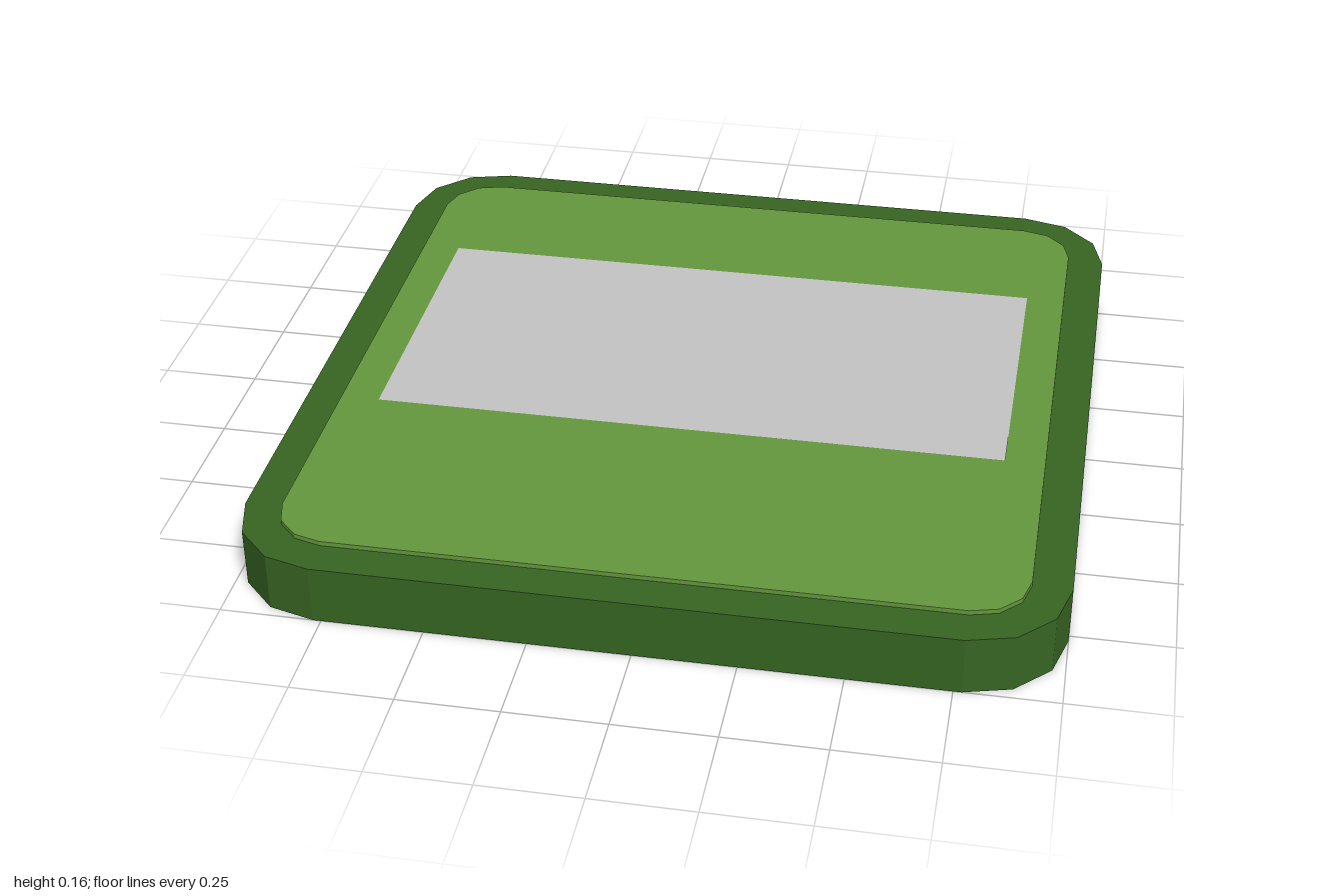
import * as THREE from 'three';

const CORNER = 0.77; // centre of every corner arc

// Counter-clockwise rounded-square outline with three facets per corner
function outline(radius) {
  const points = [];
  [[1, 1], [-1, 1], [-1, -1], [1, -1]].forEach(([sx, sy], corner) => {
    for (let i = 0; i <= 3; i++) {
      const a = corner * Math.PI / 2 + i * Math.PI / 6;
      points.push(new THREE.Vector2(
        sx * CORNER + radius * Math.cos(a),
        sy * CORNER + radius * Math.sin(a)));
    }
  });
  return points;
}

// Flat top face at height y
function cap(points, y) {
  return new THREE.ShapeGeometry(new THREE.Shape(points)).rotateX(-Math.PI / 2).translate(0, y, 0);
}

// Faceted vertical band following the outline
function wall(points, y0, y1) {
  const position = [];
  points.forEach((a, i) => {
    const b = points[(i + 1) % points.length];
    position.push(
      a.x, y0, -a.y, b.x, y0, -b.y, b.x, y1, -b.y,
      a.x, y0, -a.y, b.x, y1, -b.y, a.x, y1, -a.y);
  });
  const geometry = new THREE.BufferGeometry();
  geometry.setAttribute('position', new THREE.Float32BufferAttribute(position, 3));
  geometry.computeVertexNormals();
  return geometry;
}

export function createModel() {
  const group = new THREE.Group();
  group.name = 'roundedTile';

  const material = (name, color) => {
    const m = new THREE.MeshStandardMaterial({ color, side: THREE.DoubleSide });
    m.name = name;
    return m;
  };
  const darkGreen = material('darkGreen', 0x376523);
  const leafGreen = material('leafGreen', 0x64983c);
  const grey = material('lightGrey', 0xc4c4c4);

  const add = (name, geometry, mat) => {
    const mesh = new THREE.Mesh(geometry, mat);
    mesh.name = name;
    group.add(mesh);
  };

  // Hollow base, open underneath
  const outer = outline(0.23);
  add('baseTop', cap(outer, 0.15), darkGreen);
  add('baseWall', wall(outer, 0, 0.15), darkGreen);

  // Thin raised panel
  const inner = outline(0.135);
  add('panelTop', cap(inner, 0.162), leafGreen);
  add('panelEdge', wall(inner, 0.15, 0.162), leafGreen);

  // Rectangular label, set towards the back
  const label = new THREE.PlaneGeometry(1.61, 0.805).rotateX(-Math.PI / 2);
  add('label', label.translate(0, 0.164, -0.118), grey);

  return group;
}
